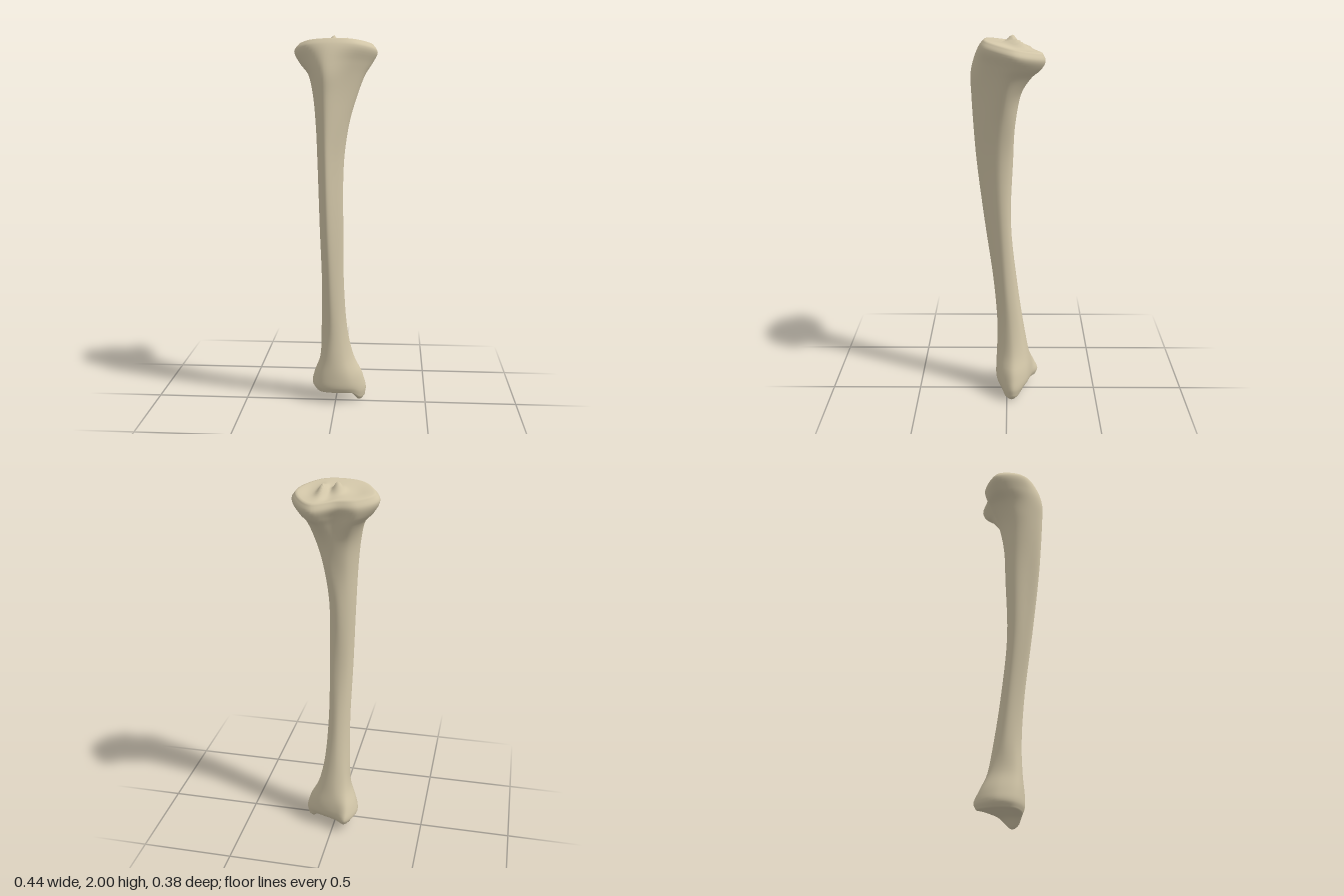
import * as THREE from 'three';
import { mergeVertices } from 'three/addons/utils/BufferGeometryUtils.js';

const AROUND = 56, STEPS = 5;

// Cross-sections: height, backward tilt, then x,z pairs running
// front, front-left, left, back-left, back, back-right, right, front-right.
const head = [
  [1.96, 0.2, -0.02, 0.115, 0.1, 0.095, 0.197, -0.04, 0.1, -0.178, -0.01, -0.135, -0.11, -0.115, -0.197, -0.04, -0.13, 0.08],
  [1.925, 0.2, -0.03, 0.14, 0.12, 0.11, 0.218, -0.045, 0.1, -0.193, -0.02, -0.142, -0.13, -0.128, -0.22, -0.04, -0.15, 0.1],
  [1.86, 0.1, -0.045, 0.172, 0.09, 0.115, 0.19, -0.035, 0.09, -0.172, -0.01, -0.12, -0.12, -0.118, -0.19, -0.03, -0.13, 0.115],
  [1.8, 0, -0.045, 0.188, 0.065, 0.12, 0.155, -0.01, 0.075, -0.125, 0, -0.1, -0.09, -0.1, -0.142, 0, -0.11, 0.125],
];
const shaft = [
  [1.7, 0, -0.045, 0.185, 0.045, 0.12, 0.117, 0.01, 0.065, -0.06, 0, -0.07, -0.07, -0.05, -0.115, 0.04, -0.095, 0.13],
  [1.55, 0, -0.045, 0.177, 0.02, 0.125, 0.074, 0.03, 0.05, -0.035, 0, -0.043, -0.06, -0.025, -0.1, 0.045, -0.082, 0.13],
  [1.35, 0, -0.045, 0.162, 0.002, 0.115, 0.046, 0.04, 0.03, -0.015, -0.01, -0.033, -0.06, -0.012, -0.093, 0.04, -0.075, 0.11],
  [1, 0, -0.04, 0.12, 0.005, 0.085, 0.042, 0.03, 0.03, -0.01, -0.015, -0.022, -0.06, -0.005, -0.083, 0.035, -0.068, 0.085],
  [0.65, 0, -0.03, 0.072, 0.015, 0.05, 0.046, 0.005, 0.03, -0.04, -0.01, -0.058, -0.05, -0.04, -0.074, 0, -0.062, 0.04],
  [0.4, 0, -0.02, 0.053, 0.03, 0.035, 0.065, -0.02, 0.045, -0.075, -0.01, -0.095, -0.055, -0.075, -0.08, -0.02, -0.06, 0.03],
];
const ankle = [
  [0.25, 0, -0.02, 0.056, 0.05, 0.037, 0.1, -0.03, 0.07, -0.095, -0.01, -0.122, -0.07, -0.1, -0.088, -0.03, -0.068, 0.035],
  [0.15, 0, -0.02, 0.06, 0.08, 0.045, 0.15, -0.03, 0.1, -0.105, -0.02, -0.143, -0.085, -0.148, -0.123, -0.05, -0.09, 0.037],
  [0.09, 0, -0.02, 0.058, 0.09, 0.043, 0.168, -0.03, 0.112, -0.1, -0.02, -0.148, -0.08, -0.176, -0.133, -0.06, -0.1, 0.03],
  [0.06, 0, -0.02, 0.045, 0.088, 0.033, 0.162, -0.03, 0.108, -0.085, -0.02, -0.135, -0.075, -0.165, -0.112, -0.06, -0.088, 0.02],
];

// Soft bump centred on (cx, cz)
const bump = (x, z, cx, cz, sx, sz) => Math.exp(-(((x - cx) / sx) ** 2) - ((z - cz) / sz) ** 2);

// Smooth closed outline through one section's points
function outline([y, tilt, ...xz]) {
  const pts = [];
  for (let i = 0; i < xz.length; i += 2) pts.push(new THREE.Vector3(xz[i], y + tilt * xz[i + 1], xz[i + 1]));
  const curve = new THREE.CatmullRomCurve3(pts, true);
  return Array.from({ length: AROUND }, (_, j) => curve.getPoint(j / AROUND));
}

// Shrink a rim towards a centre, taking heights from a surface rule
const capRing = (rim, s, cx, cz, height) => rim.map((p) => {
  const x = cx + (p.x - cx) * s, z = cz + (p.z - cz) * s;
  return new THREE.Vector3(x, height(x, z, s), z);
});

// Knee plateau: two shallow dishes, twin spines and a rear groove
const kneeHeight = (x, z, s) => 1.96 + 0.2 * z + (1 - s ** 4) * (0.006
  + 0.044 * bump(x, z, -0.012, -0.03, 0.024, 0.03)
  + 0.036 * bump(x, z, 0.062, -0.05, 0.02, 0.055)
  - 0.014 * bump(x, z, 0.135, -0.05, 0.05, 0.09)
  - 0.01 * bump(x, z, -0.11, -0.02, 0.06, 0.07)
  - 0.012 * bump(x, z, 0.02, -0.12, 0.04, 0.05));

// Ankle joint face: gently hollow
const ankleHeight = (x, z, s) => 0.06 - 0.008 * (1 - s * s) + 0.014 * bump(x, z, 0, -0.05, 0.07, 0.05);

function boneGeometry() {
  const outlines = [...head, ...shaft, ...ankle].map(outline);
  const columns = Array.from({ length: AROUND }, (_, j) => new THREE.CatmullRomCurve3(outlines.map((o) => o[j])));
  const count = (outlines.length - 1) * STEPS;
  const rings = [];
  for (let i = 0; i <= count; i++) rings.push(columns.map((c) => c.getPoint(i / count)));

  // Close both ends
  const top = rings[0], bottom = rings[count], N = 16;
  for (let k = N - 1; k >= 0; k--) rings.unshift(capRing(top, k / N, 0.015, -0.035, kneeHeight));
  for (let k = N - 1; k >= 0; k--) rings.push(capRing(bottom, k / N, 0, -0.05, ankleHeight));

  // Pull the inner ankle knob down below the joint face
  const positions = [], index = [];
  for (const ring of rings) for (const p of ring) {
    const w = THREE.MathUtils.clamp((0.16 - p.y) / 0.1, 0, 1);
    positions.push(p.x, p.y - 0.056 * w * bump(p.x, p.z, 0.132, -0.025, 0.036, 0.05), p.z);
  }
  for (let i = 0; i < rings.length - 1; i++) for (let j = 0; j < AROUND; j++) {
    const a = i * AROUND + j, b = i * AROUND + (j + 1) % AROUND;
    index.push(a, a + AROUND, b, b, a + AROUND, b + AROUND);
  }
  let geometry = new THREE.BufferGeometry();
  geometry.setAttribute('position', new THREE.Float32BufferAttribute(positions, 3));
  geometry.setIndex(index);
  geometry = mergeVertices(geometry, 1e-5);
  geometry.computeVertexNormals();
  return geometry;
}

export function createModel() {
  const bone = new THREE.MeshStandardMaterial({ color: 0xd2c6a8 });
  bone.name = 'bone';
  const mesh = new THREE.Mesh(boneGeometry(), bone);
  mesh.name = 'shinBone';
  const group = new THREE.Group();
  group.name = 'tibia';
  group.add(mesh);
  return group;
}
